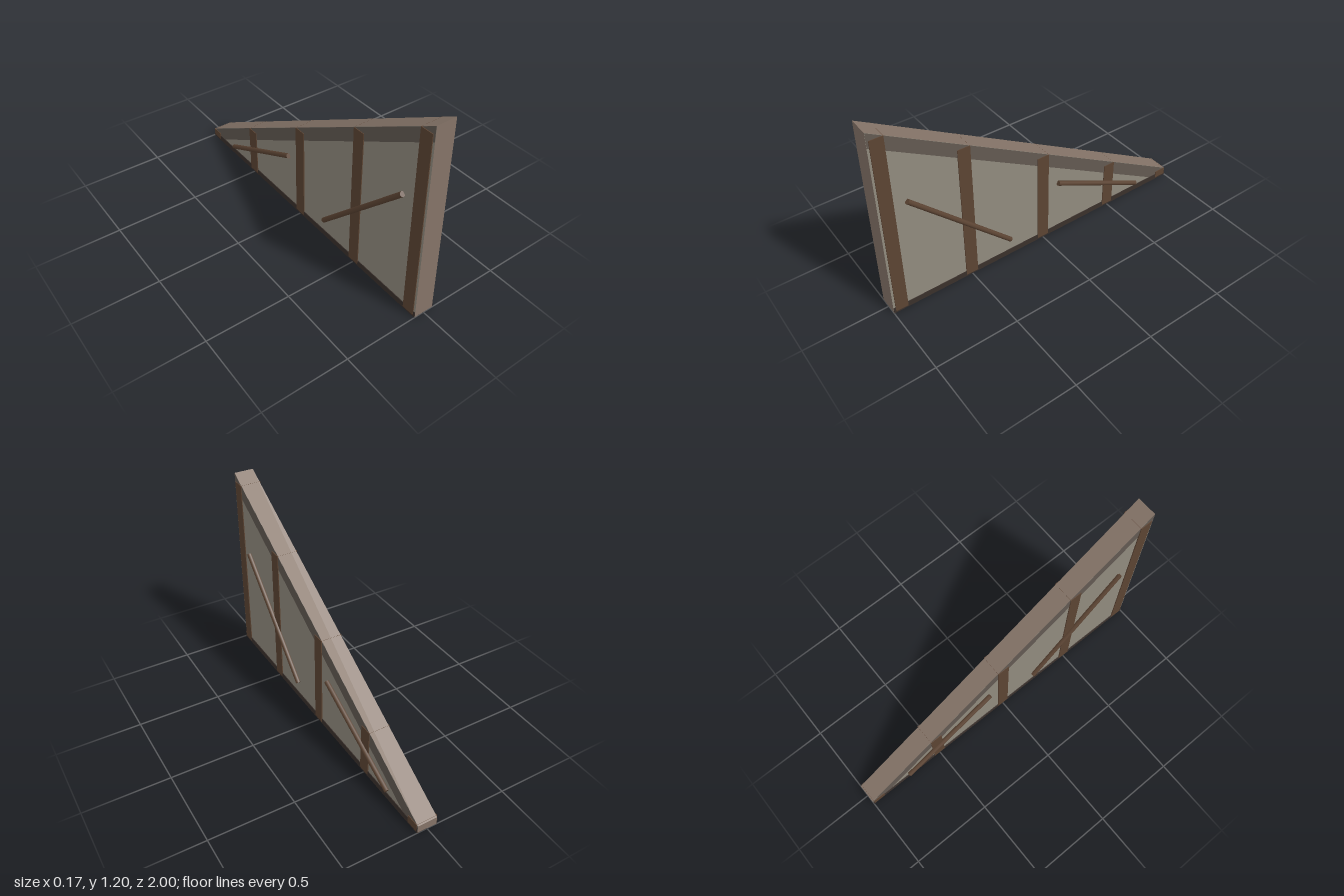
import * as THREE from 'three';

const mat = (color) => new THREE.MeshStandardMaterial({ color });
const panelMat = mat(0x918b7e), edgeMat = mat(0x857468), trimMat = mat(0x635a52);
const postMat = mat(0x5c4433), sillMat = mat(0x3a302b);

// Height of the sloping top edge at depth z
const slopeY = (z) => 0.625 + 0.575 * z;

// Extrudes a [z, y] outline across the width, centred on x = 0
function prism(points, width, materials, name) {
  const shape = new THREE.Shape(points.map(([z, y]) => new THREE.Vector2(z, y)));
  const geo = new THREE.ExtrudeGeometry(shape, { depth: width, bevelEnabled: false });
  geo.translate(0, 0, -width / 2).rotateY(-Math.PI / 2);
  const mesh = new THREE.Mesh(geo, materials);
  mesh.name = name;
  return mesh;
}

function box(w, h, d, y, z, material, name) {
  const mesh = new THREE.Mesh(new THREE.BoxGeometry(w, h, d), material);
  mesh.position.set(0, y, z);
  mesh.name = name;
  return mesh;
}

// Round bar between two points
function bar(a, b, radius, name) {
  const dir = b.clone().sub(a);
  const mesh = new THREE.Mesh(new THREE.CylinderGeometry(radius, radius, dir.length(), 8), postMat);
  mesh.position.copy(a).add(b).multiplyScalar(0.5);
  mesh.quaternion.setFromUnitVectors(new THREE.Vector3(0, 1, 0), dir.normalize());
  mesh.name = name;
  return mesh;
}

export function createModel() {
  const model = new THREE.Group();
  model.name = 'gableWall';

  // Infill panel with timber-coloured edges
  model.add(prism([[-1, 0.002], [1, 0.002], [1, 1.2], [-1, 0.05]], 0.12, [panelMat, edgeMat], 'wallPanel'));

  // Trim band under the slope
  model.add(prism([[-0.999, 0.035], [-0.865, 0.035], [0.999, 1.112], [0.999, 1.198], [-0.999, 0.049]],
    0.122, trimMat, 'slopeTrim'));

  // Sill along the bottom
  model.add(box(0.128, 0.036, 1.998, 0.018, 0, sillMat, 'sill'));

  // Upright posts, each stopping just short of the slope
  for (const z of [0.95, 0.5, 0, -0.5, -0.955]) {
    const top = slopeY(z) - 0.021, bottom = 0.01;
    model.add(box(0.13, top - bottom, 0.075, (top + bottom) / 2, z, postMat, 'post'));
  }

  // Diagonal braces on both faces: [z, y] of each end
  const braces = [[[0.843, 0.722], [0.238, 0.12]], [[-0.104, 0.368], [-0.73, 0.063]]];
  for (const side of [1, -1]) {
    for (const [[z0, y0], [z1, y1]] of braces) {
      model.add(bar(new THREE.Vector3(side * 0.07, y0, z0), new THREE.Vector3(side * 0.07, y1, z1),
        0.015, side > 0 ? 'leftBrace' : 'rightBrace'));
    }
  }
  return model;
}
